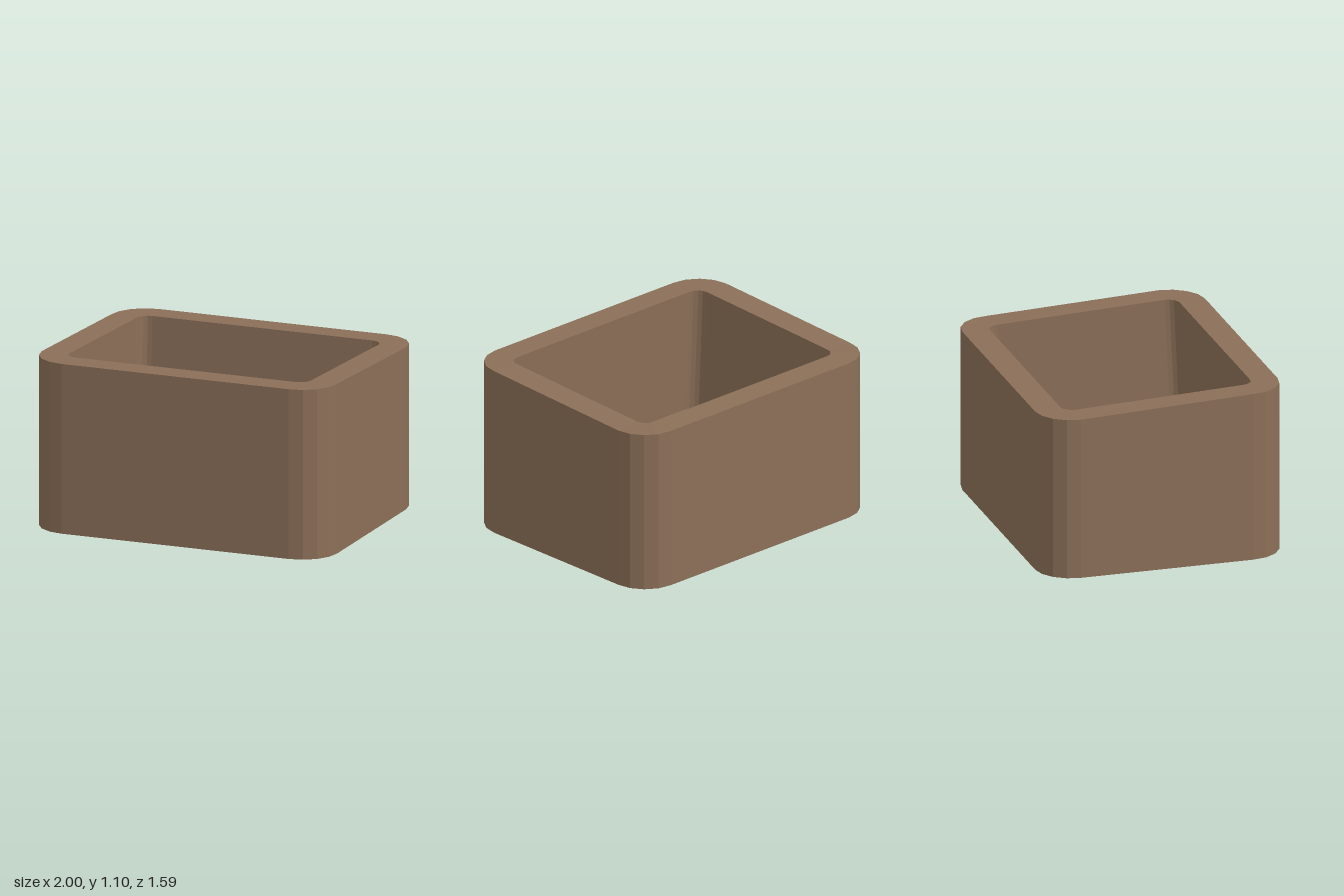
import * as THREE from 'three';

// Rounded-rectangle ring; yAt gives the height at each z, zShift slides the ring.
function ring(halfX, halfZ, radius, yAt, zShift = 0) {
  const points = [];
  const corners = [[1, 1], [-1, 1], [-1, -1], [1, -1]];
  corners.forEach(([sx, sz], c) => {
    for (let i = 0; i <= 4; i++) {
      const a = (c + i / 4) * Math.PI / 2;
      const x = sx * (halfX - radius) + radius * Math.cos(a);
      const z = sz * (halfZ - radius) + radius * Math.sin(a);
      points.push(new THREE.Vector3(x, yAt(z), z + zShift));
    }
  });
  return points;
}

// Skin consecutive rings; a collapsed ring closes an end.
function loft(rings) {
  const positions = [];
  const triangle = (a, b, c) => {
    if (a.equals(b) || b.equals(c) || c.equals(a)) return;
    for (const p of [a, b, c]) positions.push(p.x, p.y, p.z);
  };
  for (let r = 0; r < rings.length - 1; r++) {
    const lower = rings[r], upper = rings[r + 1], n = lower.length;
    for (let i = 0; i < n; i++) {
      const j = (i + 1) % n;
      triangle(lower[i], upper[i], lower[j]);
      triangle(lower[j], upper[i], upper[j]);
    }
  }
  const geometry = new THREE.BufferGeometry();
  geometry.setAttribute('position', new THREE.Float32BufferAttribute(positions, 3));
  geometry.computeVertexNormals();
  return geometry;
}

export function createModel() {
  const group = new THREE.Group();
  group.name = 'openBox';
  const material = new THREE.MeshStandardMaterial({ color: 0x8b6f58, flatShading: true });

  // Rim slopes gently from front to back and levels off at both ends.
  const outerRim = z => THREE.MathUtils.clamp(1.077 + 0.0464 * z, 1.052, 1.102);
  const innerRim = z => THREE.MathUtils.clamp(1.077 + 0.0464 * z, 1.054, 1.102);
  // Cavity is sunk square to the sloping rim, so its floor tilts and shifts forward.
  const floor = z => 0.26 + 0.0464 * z;
  const point = (y, z) => Array.from({ length: 20 }, () => new THREE.Vector3(0, y, z));

  const box = new THREE.Mesh(loft([
    point(0, 0),                                  // underside centre
    ring(1, 0.795, 0.23, () => 0),                // base edge
    ring(1, 0.795, 0.23, outerRim),               // outer rim
    ring(0.82, 0.622, 0.075, innerRim),           // opening
    ring(0.82, 0.622, 0.075, floor, 0.037),       // cavity floor edge
    point(0.26, 0.037),                           // cavity floor centre
  ]), material);
  box.name = 'boxShell';
  group.add(box);
  return group;
}
